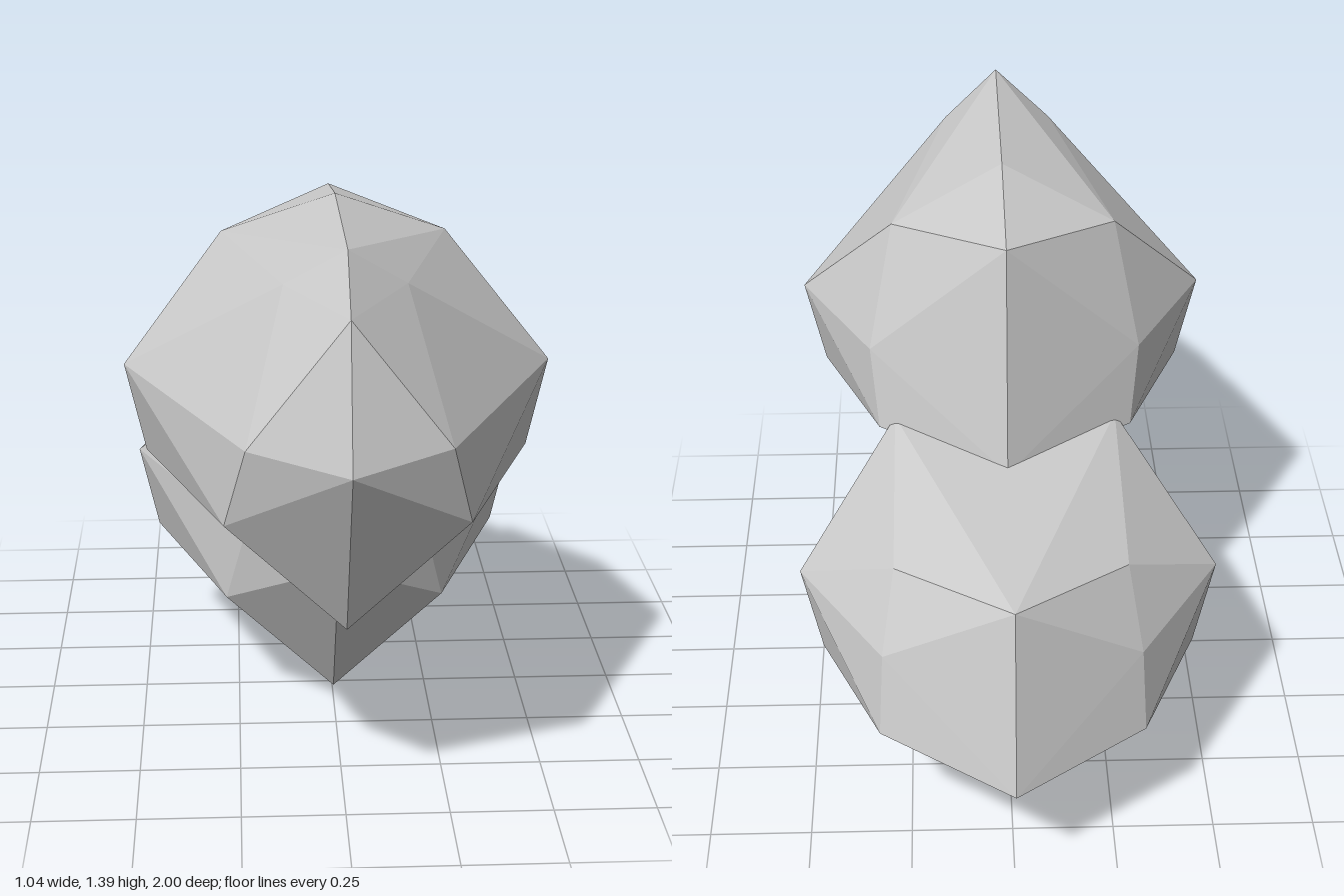
import * as THREE from 'three';
import { ConvexGeometry } from 'three/addons/geometries/ConvexGeometry.js';

// Faceted solid from half-side corner points, mirrored across x = 0.
function facetedShell(half) {
  const points = [];
  for (const [x, y, z] of half) {
    points.push(new THREE.Vector3(x, y, z));
    if (x > 0) points.push(new THREE.Vector3(-x, y, z));
  }
  return new ConvexGeometry(points);
}

// Keeps only the triangles whose face normal passes the test.
function pickFaces(geometry, test) {
  const pos = geometry.attributes.position;
  const tri = new THREE.Triangle();
  const normal = new THREE.Vector3();
  const kept = [];
  for (let i = 0; i < pos.count; i += 3) {
    tri.setFromAttributeAndIndices(pos, i, i + 1, i + 2);
    if (!test(tri.getNormal(normal))) continue;
    for (const p of [tri.a, tri.b, tri.c]) kept.push(p.x, p.y, p.z);
  }
  const out = new THREE.BufferGeometry();
  out.setAttribute('position', new THREE.Float32BufferAttribute(kept, 3));
  out.computeVertexNormals();
  return out;
}

function part(name, geometry, color) {
  const material = new THREE.MeshStandardMaterial({ color, flatShading: true, side: THREE.DoubleSide });
  const mesh = new THREE.Mesh(geometry, material);
  mesh.name = name;
  return mesh;
}

export function createModel() {
  const group = new THREE.Group();
  group.name = 'stackedShells';

  // Upper shell, reaching forward
  const upper = facetedShell([
    [0, 0.94, 1.0], [0, 1.27, 0.91], [0.23, 0.97, 0.89],              // nose
    [0, 1.39, 0.77], [0, 1.385, 0.17], [0, 1.33, -0.2],               // top ridge
    [0.14, 1.29, 0.68], [0.28, 1.27, 0.07],                           // shoulders
    [0.52, 0.99, 0.28], [0.34, 0.98, -0.05],                          // widest sides
    [0.28, 0.77, 0.82], [0.47, 0.77, 0.28], [0.32, 0.78, -0.1],       // lower rim
    [0, 0.97, -0.27], [0, 0.78, -0.33],                               // back edge
    [0, 0.49, 0.77], [0, 0.46, 0.38],                                 // keel
  ]);
  const isSeam = (n) => n.y < -0.45 && n.z < -0.05;
  group.add(part('upperShell', pickFaces(upper, (n) => !isSeam(n)), 0xcccccc));
  // Yellow inner faces where the two shells meet
  group.add(part('innerSeam', pickFaces(upper, isSeam), 0xcccc44));

  // Lower shell, reaching back
  const lower = facetedShell([
    [0, 0.48, 0.38], [0.23, 0.52, 0.22], [0.2, 0.69, 0.15],           // front tip
    [0.28, 0.81, -0.1], [0, 0.78, -0.33], [0, 0.76, -0.88],           // top
    [0.28, 0.7, -0.61],                                               // shoulders
    [0.52, 0.54, -0.39], [0.31, 0.53, -0.73],                         // widest sides
    [0.28, 0.315, 0.15], [0.47, 0.315, -0.4], [0.32, 0.33, -0.77],    // lower rim
    [0, 0.32, -1.0], [0, 0.11, -0.61],                                // back end
    [0, 0.035, 0.1], [0, 0, -0.29],                                   // keel
  ]);
  group.add(part('lowerShell', lower, 0xcccccc));

  return group;
}
